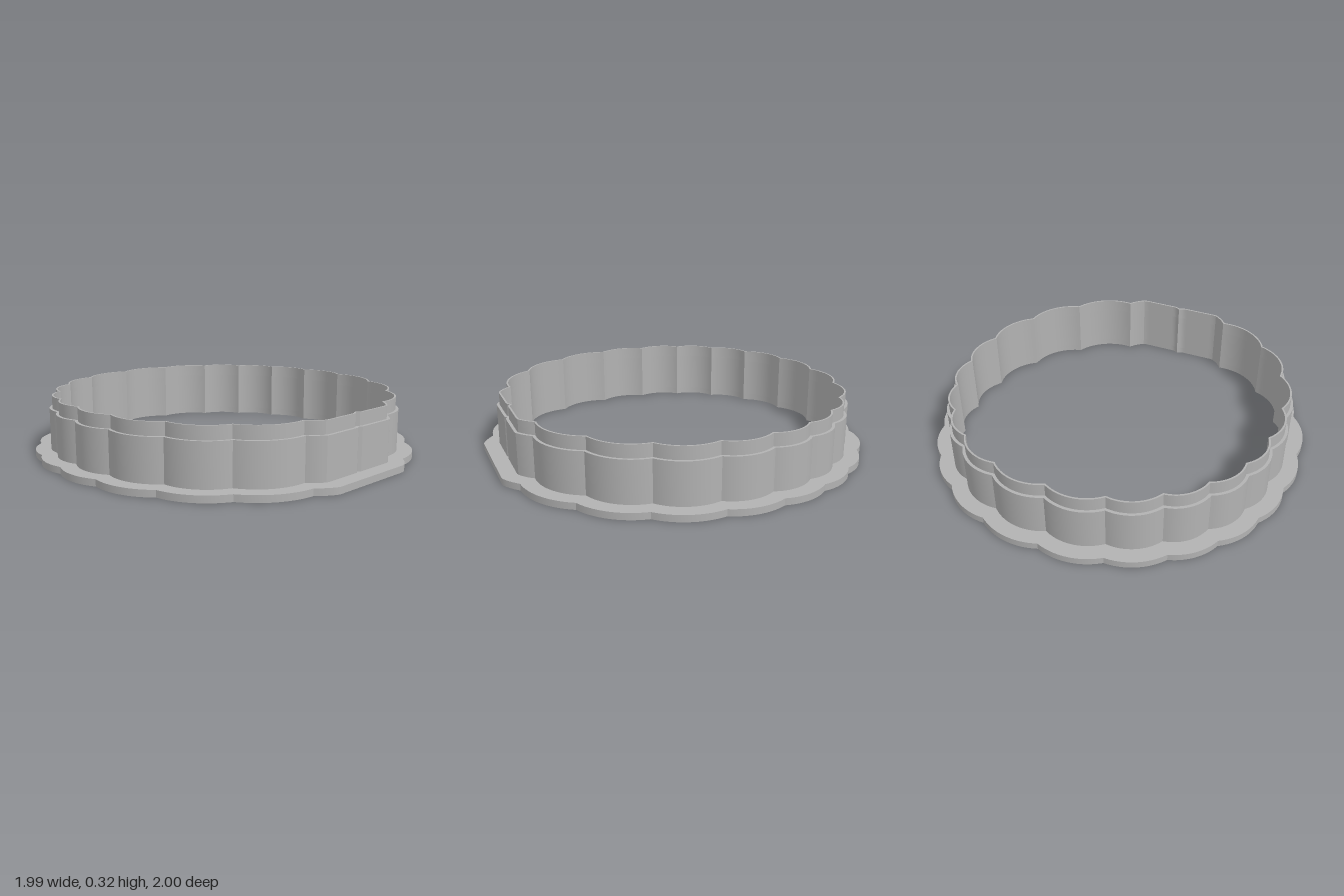
import * as THREE from 'three';
import { toCreasedNormals } from 'three/addons/utils/BufferGeometryUtils.js';

// Inner cusps between scallops, counter-clockwise from the back (x, towards back)
const CUSPS = [
  [-0.005, 0.866], [-0.29, 0.83], [-0.52, 0.71], [-0.685, 0.555], [-0.803, 0.362],
  [-0.851, 0.135], [-0.851, -0.125], [-0.77, -0.41], [-0.6, -0.655], [-0.32, -0.82],
  [-0.016, -0.874], [0.289, -0.82], [0.565, -0.655], [0.755, -0.41], [0.847, -0.125],
  [0.847, 0.135], [0.792, 0.362], [0.68, 0.555], [0.52, 0.71], [0.284, 0.83],
].map(([x, y]) => new THREE.Vector2(x, y));
const FLAT = -0.89; // the two front scallops are cut off flat here
const COUNT = CUSPS.length;

// One circle per scallop, from its chord and bulge
const CIRCLES = CUSPS.map((a, i) => {
  const b = CUSPS[(i + 1) % COUNT];
  const dir = b.clone().sub(a);
  const chord = dir.length();
  const sag = chord * (i === 9 || i === 10 ? 0.22 : 0.17);
  const r = chord * chord / (8 * sag) + sag / 2;
  const out = new THREE.Vector2(dir.y, -dir.x).divideScalar(chord);
  const c = a.clone().add(b).multiplyScalar(0.5).addScaledVector(out, sag - r);
  return { c, r };
});

// Outer crossing point of two neighbouring circles grown by d
function crossing(p, q, d) {
  const r1 = p.r + d, r2 = q.r + d;
  const dir = q.c.clone().sub(p.c);
  const len = dir.length();
  dir.divideScalar(len);
  const t = (len * len + r1 * r1 - r2 * r2) / (2 * len);
  const h = Math.sqrt(Math.max(0, r1 * r1 - t * t));
  return p.c.clone().addScaledVector(dir, t).add(new THREE.Vector2(dir.y, -dir.x).multiplyScalar(h));
}

// Scalloped outline pushed outwards by d
function outline(d, steps = 18) {
  const points = [];
  CIRCLES.forEach((k, i) => {
    const start = crossing(CIRCLES[(i + COUNT - 1) % COUNT], k, d).sub(k.c).angle();
    let end = crossing(k, CIRCLES[(i + 1) % COUNT], d).sub(k.c).angle();
    if (end < start) end += Math.PI * 2;
    for (let s = 0; s < steps; s++) {
      const a = start + (end - start) * s / steps;
      const x = k.c.x + Math.cos(a) * (k.r + d);
      const y = k.c.y + Math.sin(a) * (k.r + d);
      points.push(new THREE.Vector2(x, Math.max(y, FLAT - d)));
    }
  });
  return points;
}

export function createModel() {
  const group = new THREE.Group();
  group.name = 'scallopedCutter';
  const grey = new THREE.MeshStandardMaterial({ color: 0xb2b2b2 });
  grey.name = 'grey plastic';

  // Ring between the inner outline and one pushed out by the thickness
  function ring(name, thickness, y0, y1) {
    const shape = new THREE.Shape(outline(thickness));
    shape.holes.push(new THREE.Path(outline(0)));
    const geo = new THREE.ExtrudeGeometry(shape, { depth: y1 - y0, bevelEnabled: false });
    geo.rotateX(-Math.PI / 2);
    geo.translate(0, y0, 0);
    const mesh = new THREE.Mesh(toCreasedNormals(geo, 0.35), grey);
    mesh.name = name;
    group.add(mesh);
  }

  ring('baseFlange', 0.104, 0, 0.035);
  ring('wall', 0.024, 0.035, 0.252);
  ring('cuttingEdge', 0.009, 0.252, 0.318);
  return group;
}
